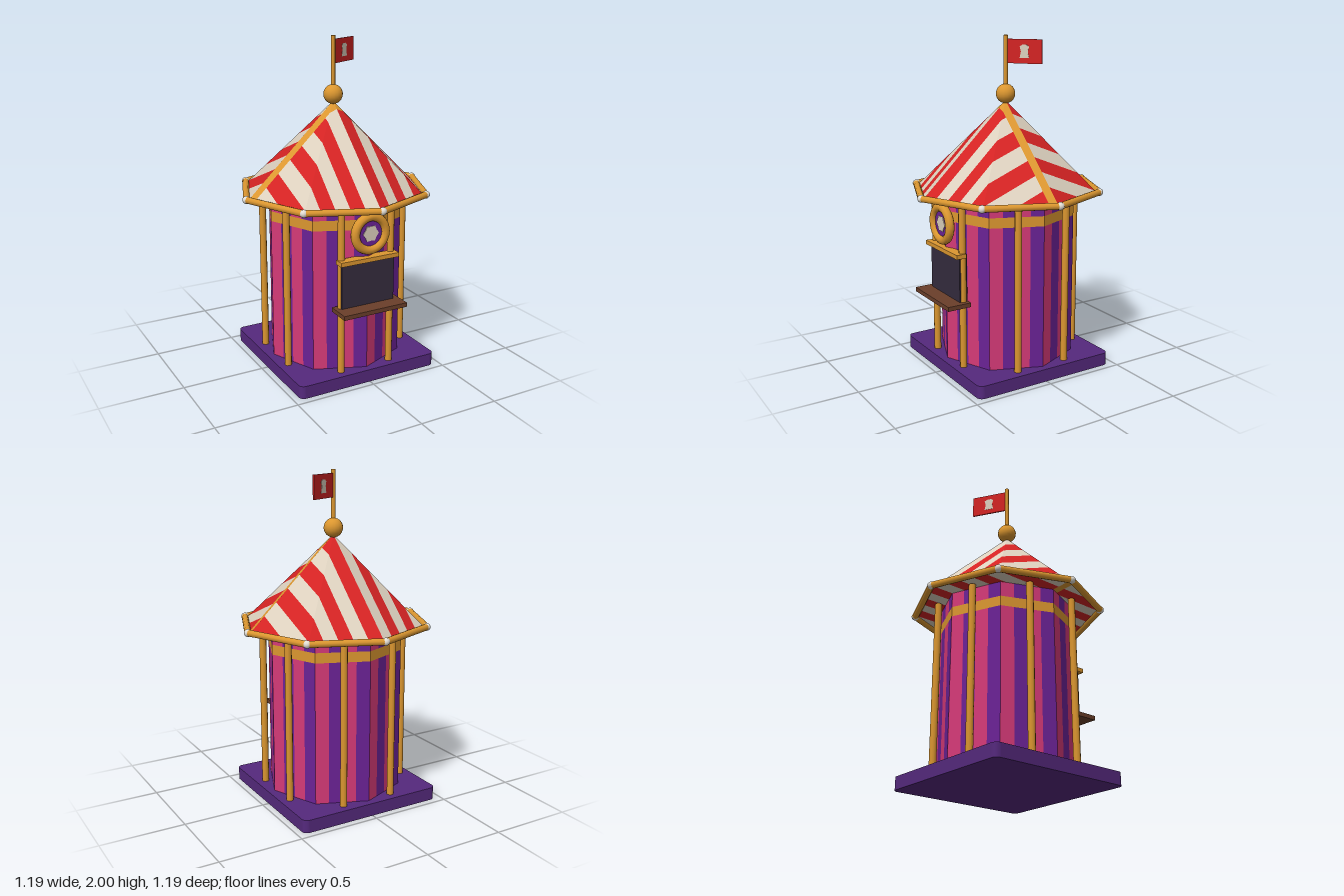
import * as THREE from 'three';

const mat = (name, color) => {
  const m = new THREE.MeshStandardMaterial({ color });
  m.name = name;
  return m;
};

export function createModel() {
  const gold = mat('gold', 0xdc9730);
  const red = mat('red', 0xd42323);
  const cream = mat('cream', 0xdcd0be);
  const pink = mat('pink', 0xd63a78);
  const purple = mat('purple', 0x6b2296);
  const plum = mat('plum', 0x55297d);
  const brown = mat('brown', 0x6b3f2a);
  const dark = mat('dark', 0x352c3e);
  const pearl = mat('pearl', 0xe4dfd6);

  const model = new THREE.Group();
  model.name = 'ticketBooth';
  const add = (name, geometry, material, x = 0, y = 0, z = 0, parent = model) => {
    const m = new THREE.Mesh(geometry, material);
    m.name = name;
    m.position.set(x, y, z);
    parent.add(m);
    return m;
  };
  const ring = (r, i, y) => { // octagon corner, 0 at the front, counted towards +x
    const a = i * Math.PI / 4;
    return new THREE.Vector3(r * Math.sin(a), y, r * Math.cos(a));
  };
  // Collects flat polygons and turns them into one mesh
  const polygonMesh = (name, polys, material) => {
    const pos = [];
    for (const p of polys)
      for (let i = 1; i < p.length - 1; i++)
        for (const v of [p[0], p[i], p[i + 1]]) pos.push(v.x, v.y, v.z);
    const g = new THREE.BufferGeometry();
    g.setAttribute('position', new THREE.Float32BufferAttribute(pos, 3));
    g.computeVertexNormals();
    return add(name, g, material);
  };
  // Keeps the part of a polygon where sign * (v[axis] - limit) >= 0
  const clip = (poly, axis, limit, sign) => {
    const out = [];
    poly.forEach((a, i) => {
      const b = poly[(i + 1) % poly.length];
      const da = sign * (a[axis] - limit), db = sign * (b[axis] - limit);
      if (da >= 0) out.push(a);
      if (da * db < 0) out.push(a.clone().lerp(b, da / (da - db)));
    });
    return out;
  };
  const slab = (poly, axis, lo, hi) => clip(clip(poly, axis, lo, 1), axis, hi, -1);

  // Base with rounded corners
  const h = 0.46, c = 0.035;
  const plan = new THREE.Shape();
  plan.absarc(h - c, h - c, c, 0, Math.PI / 2);
  plan.absarc(c - h, h - c, c, Math.PI / 2, Math.PI);
  plan.absarc(c - h, c - h, c, Math.PI, Math.PI * 1.5);
  plan.absarc(h - c, c - h, c, Math.PI * 1.5, Math.PI * 2);
  const baseGeo = new THREE.ExtrudeGeometry(plan, { depth: 0.078, bevelEnabled: false, curveSegments: 5 });
  baseGeo.rotateX(-Math.PI / 2);
  add('base', baseGeo, plum);

  // Octagonal wall: four vertical stripes per face, gold band near the top
  const R = 0.417, wall = { pink: [], purple: [], band: [] };
  for (let i = 0; i < 8; i++) {
    for (let s = 0; s < 4; s++) {
      const at = (t, y) => ring(R, i, y).lerp(ring(R, i + 1, y), t / 4);
      const quad = (lo, hi) => [at(s, lo), at(s + 1, lo), at(s + 1, hi), at(s, hi)];
      const stripe = s % 2 ? wall.purple : wall.pink;
      stripe.push(quad(0.07, 0.94), quad(1.0, 1.09));
      wall.band.push(quad(0.94, 1.0));
    }
  }
  polygonMesh('wallPinkStripes', wall.pink, pink);
  polygonMesh('wallPurpleStripes', wall.purple, purple);
  polygonMesh('wallBand', wall.band, gold);

  // Posts in front of the middle of each wall face
  const postGeo = new THREE.CylinderGeometry(0.021, 0.021, 1.01, 10);
  for (let i = 0; i < 8; i++) {
    const p = ring(0.43, i + 0.5, 0.58);
    add('post', postGeo, gold, p.x, p.y, p.z);
  }

  // Roof: faces and underside cut into straight stripes, with a gold strip across
  const apex = new THREE.Vector3(0, 1.62, 0), eave = 1.09, RR = 0.552, W = 0.077;
  const faces = [];
  for (let i = 0; i < 8; i++) faces.push([ring(RR, i, eave), ring(RR, i + 1, eave), apex]);
  faces.push([7, 6, 5, 4, 3, 2, 1, 0].map(i => ring(RR, i, eave)));
  const roof = { red: [], cream: [], strip: [] };
  const keep = (list, poly) => { if (poly.length > 2) list.push(poly); };
  for (const f of faces) {
    keep(roof.strip, slab(f, 'z', 0, 0.045));
    for (let k = -8; k < 8; k++) {
      const part = slab(f, 'x', k * W, (k + 1) * W);
      const list = k % 2 ? roof.cream : roof.red;
      keep(list, clip(part, 'z', 0, -1));
      keep(list, clip(part, 'z', 0.045, 1));
    }
  }
  polygonMesh('roofRedStripes', roof.red, red);
  polygonMesh('roofCreamStripes', roof.cream, cream);
  polygonMesh('roofStrip', roof.strip, gold);

  // Eave rails with a knob at every corner
  const knobGeo = new THREE.SphereGeometry(0.023, 12, 8);
  for (let i = 0; i < 8; i++) {
    const a = ring(0.57, i, eave), b = ring(0.57, i + 1, eave);
    const rail = new THREE.TubeGeometry(new THREE.LineCurve3(a, b), 1, 0.02, 10);
    add('eaveRail', rail, gold);
    add('eaveKnob', knobGeo, pearl, a.x, a.y, a.z);
  }

  // Finial and flagpole
  add('finial', new THREE.SphereGeometry(0.058, 16, 12), gold, 0, 1.66, 0);
  add('flagpole', new THREE.CylinderGeometry(0.013, 0.013, 0.32, 10), gold, 0, 1.84, 0);

  // Flag, turned back, with a pale emblem on both sides
  const flag = new THREE.Group();
  flag.name = 'flag';
  flag.rotation.y = 0.54;
  flag.position.y = 1.908;
  model.add(flag);
  add('flagCloth', new THREE.BoxGeometry(0.222, 0.14, 0.008), red, 0.124, 0, 0, flag);
  const e = new THREE.Shape();
  [[-0.03, -0.038], [0.03, -0.038], [0.022, 0], [0.03, 0.026], [0.015, 0.038],
    [-0.015, 0.038], [-0.03, 0.026], [-0.022, 0]].forEach(([x, y], i) => i ? e.lineTo(x, y) : e.moveTo(x, y));
  const emblem = new THREE.ExtrudeGeometry(e, { depth: 0.011, bevelEnabled: false });
  add('flagEmblem', emblem, cream, 0.124, 0, -0.0055, flag);

  // Serving window, lintel and counter
  add('window', new THREE.BoxGeometry(0.35, 0.3, 0.05), dark, 0, 0.62, 0.398);
  add('lintel', new THREE.BoxGeometry(0.385, 0.026, 0.062), gold, 0, 0.767, 0.418);
  add('counter', new THREE.BoxGeometry(0.42, 0.026, 0.15), brown, 0, 0.473, 0.443);

  // Round sign: gold ring, purple disc and a pale patch
  const sy = 0.925;
  add('signRing', new THREE.TorusGeometry(0.099, 0.027, 10, 28), gold, 0, sy, 0.44);
  const disc = new THREE.CylinderGeometry(0.095, 0.095, 0.03, 28);
  disc.rotateX(Math.PI / 2);
  add('signDisc', disc, purple, 0, sy, 0.43);
  const patch = new THREE.Shape();
  for (let i = 0; i < 12; i++) {
    const a = i * Math.PI / 6, r = i % 2 ? 0.042 : 0.052;
    patch[i ? 'lineTo' : 'moveTo'](r * Math.cos(a), r * Math.sin(a));
  }
  add('signPatch', new THREE.ExtrudeGeometry(patch, { depth: 0.005, bevelEnabled: false }), cream, 0, sy, 0.444);

  return model;
}
